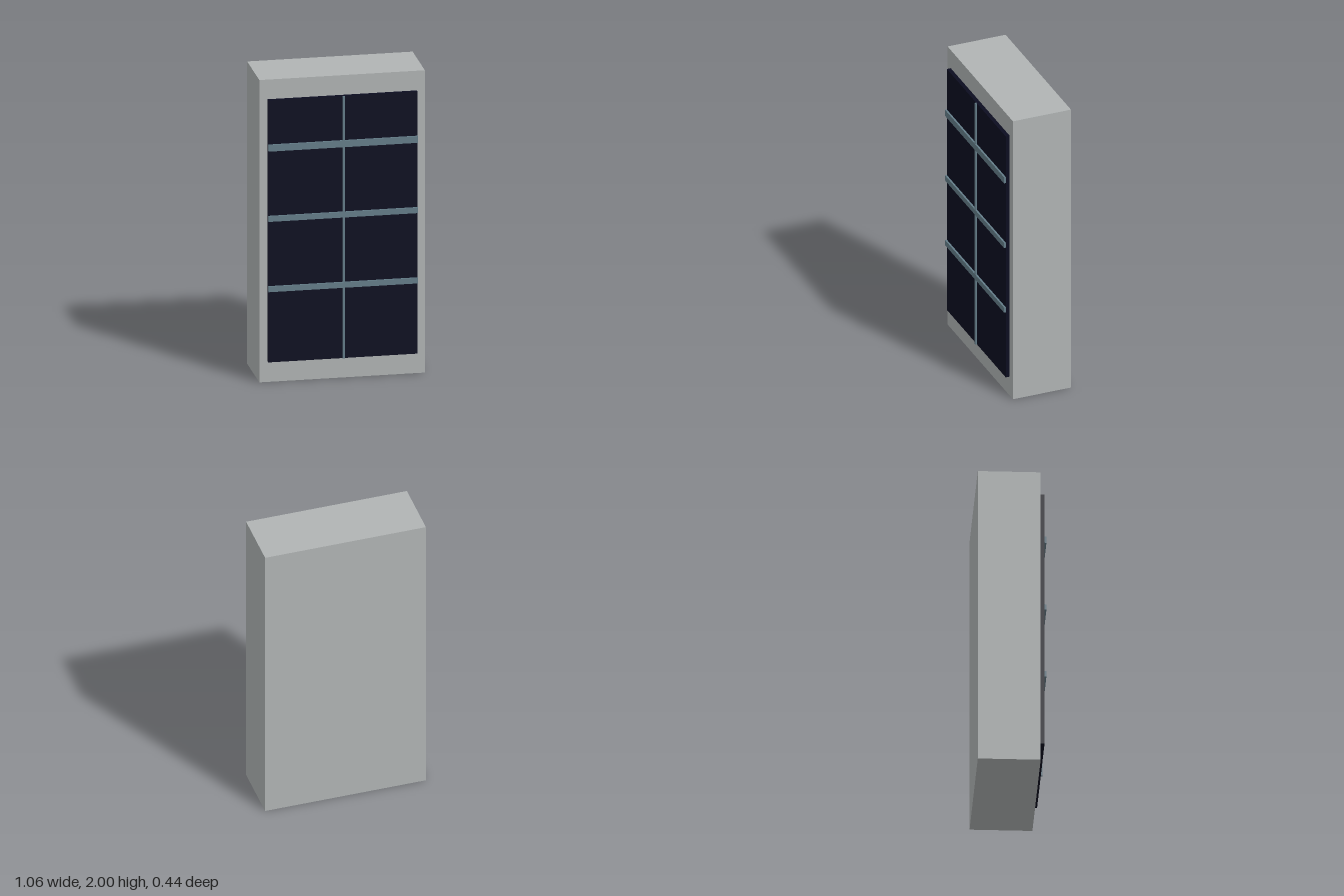
import * as THREE from 'three';

export function createModel() {
  const model = new THREE.Group();
  model.name = 'windowBlock';

  const material = (name, color) => {
    const m = new THREE.MeshStandardMaterial({ color });
    m.name = name;
    return m;
  };
  const wallGrey = material('wall grey', 0xb0b4b4);
  const glassNavy = material('glass navy', 0x0b0c20);
  const barSteel = material('bar steel blue', 0x647d89);

  // Box given by its minimum and maximum along each axis
  const addBox = (name, mat, [x0, x1], [y0, y1], [z0, z1]) => {
    const mesh = new THREE.Mesh(new THREE.BoxGeometry(x1 - x0, y1 - y0, z1 - z0), mat);
    mesh.position.set((x0 + x1) / 2, (y0 + y1) / 2, (z0 + z1) / 2);
    mesh.name = name;
    model.add(mesh);
  };

  const wallFront = 0.178, glassFront = 0.205, barFront = 0.217;
  const paneX = [-0.48, 0.48], paneY = [0.137, 1.87];

  // Wall slab and the raised glass panel on its front
  addBox('wall', wallGrey, [-0.532, 0.532], [0, 2], [-0.219, wallFront]);
  addBox('glassPanel', glassNavy, paneX, paneY, [wallFront, glassFront]);

  // Glazing bars: three across and one slim upright
  [[0.605, 0.642], [1.07, 1.107], [1.535, 1.579]].forEach((y, i) =>
    addBox(`crossBar${i + 1}`, barSteel, paneX, y, [glassFront, barFront]));
  addBox('uprightBar', barSteel, [-0.002, 0.012], paneY, [glassFront, barFront - 0.001]);

  return model;
}
